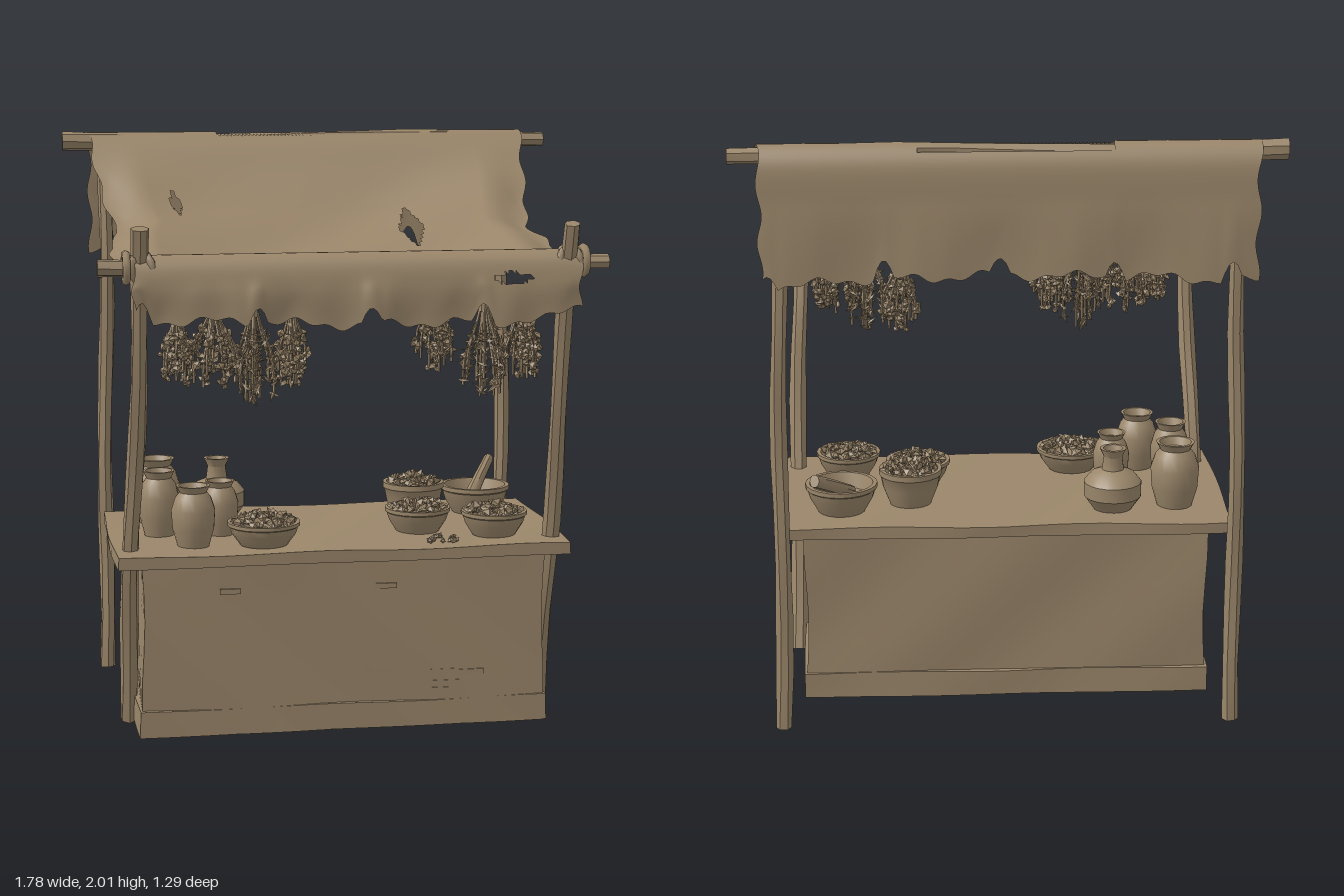
import * as THREE from 'three';
import { mergeGeometries, toCreasedNormals } from 'three/addons/utils/BufferGeometryUtils.js';

const clay = new THREE.MeshStandardMaterial({ color: 0x9a866a, side: THREE.DoubleSide });
clay.name = 'weathered tan';

let seed = 7;
const rnd = () => (seed = (seed * 16807) % 2147483647) / 2147483647;
const spread = (a) => (rnd() * 2 - 1) * a;
const V = (x, y, z) => new THREE.Vector3(x, y, z);
const lerp = THREE.MathUtils.lerp, step = THREE.MathUtils.smoothstep;

function mesh(name, geo, x = 0, y = 0, z = 0) {
  const m = new THREE.Mesh(geo, clay);
  m.name = name;
  m.position.set(x, y, z);
  return m;
}

// move every vertex by a rule
function warp(geo, rule) {
  const p = geo.attributes.position, v = V(0, 0, 0);
  for (let i = 0; i < p.count; i++) {
    v.fromBufferAttribute(p, i);
    rule(v);
    p.setXYZ(i, v.x, v.y, v.z);
  }
  return toCreasedNormals(geo, 0.6);
}

// rough-hewn pole between two points
function pole(name, a, b, r, sides = 7) {
  const len = a.distanceTo(b), ph = rnd() * 6;
  const geo = warp(new THREE.CylinderGeometry(r * 0.92, r * 1.05, len, sides, 10), (v) => {
    const k = 1 + 0.1 * Math.sin(v.y * 9 + ph + Math.atan2(v.z, v.x) * 2);
    v.x = v.x * k + 0.006 * Math.sin(v.y * 5 + ph);
    v.z = v.z * k + 0.005 * Math.sin(v.y * 6 + ph * 2);
  });
  const m = mesh(name, geo);
  m.position.copy(a).add(b).multiplyScalar(0.5);
  m.quaternion.setFromUnitVectors(V(0, 1, 0), b.clone().sub(a).normalize());
  return m;
}

// worn box with softly wandering faces
function wornBox(name, w, h, d, x, y, z, amp) {
  const geo = warp(new THREE.BoxGeometry(w, h, d, 18, 6, 10), (v) => {
    const { x: a, y: b, z: c } = v;
    v.x += amp * Math.sin(b * 11 + c * 7 + 1) * Math.sign(a);
    v.z += amp * Math.sin(a * 8 + b * 9) * Math.sign(c);
    v.y += amp * 0.5 * Math.sin(a * 9 + c * 5) * (b > 0 ? 1 : 0);
  });
  return mesh(name, geo, x, y, z);
}

// half width of the cloth at a given depth
const widths = [[-0.64, 0.79], [-0.55, 0.8], [-0.3, 0.765], [-0.1, 0.725], [0, 0.76], [0.38, 0.775], [0.45, 0.735], [0.65, 0.73]];
function halfWidth(z) {
  for (let i = 1; i < widths.length; i++) {
    const [z0, w0] = widths[i - 1], [z1, w1] = widths[i];
    if (z <= z1) return lerp(w0, w1, Math.max(0, (z - z0) / (z1 - z0)));
  }
  return 0.73;
}

// torn places: x, z, half sizes, slant
const tears = [[0.31, -0.12, 0.045, 0.14, 0], [-0.39, 0.27, 0.045, 0.1, -0.2], [-0.51, -0.25, 0.022, 0.07, 0.1]];
function torn(x, y, z) {
  if (z > 0.585 && Math.abs(x - 0.5) / 0.08 + Math.abs(y - 1.57) / 0.022 < 1) return true;
  if (y > 1.9 && z > -0.59 && z < -0.525 && x > -0.33 && x < 0.29) return true;
  return y < 1.9 && tears.some(([a, c, hx, hz, s]) => z < 0.5 && z > -0.5 &&
    Math.abs(x - a - s * (z - c)) / hx + Math.abs(z - c) / hz < 1);
}

// sagging cloth draped over both rails, with ragged hems
function canopy() {
  const line = new THREE.CatmullRomCurve3([[0.625, 1.43], [0.62, 1.55], [0.59, 1.635], [0.54, 1.657], [0.4, 1.622], [0.2, 1.637],
    [0, 1.678], [-0.2, 1.757], [-0.4, 1.88], [-0.5, 1.965], [-0.555, 1.997], [-0.605, 1.95], [-0.625, 1.8], [-0.635, 1.55]]
    .map(([z, y]) => V(0, y, z)));
  const nx = 120, nv = 140, pos = [], idx = [];
  for (let j = 0; j <= nv; j++) {
    const t = j / nv, p = line.getPointAt(t), w = halfWidth(p.z);
    const roof = p.y > 1.6 ? step(p.z, -0.52, -0.25) * (1 - step(p.z, 0.25, 0.53)) : 0;
    const front = 1 - step(t, 0, 0.09), back = step(t, 0.84, 1);
    for (let i = 0; i <= nx; i++) {
      const u = i / nx * 2 - 1, x = u * w;
      const notch = Math.max(0, Math.sin(x * 17 + 1) - 0.85) * 0.35;
      const rag = 0.012 * Math.sin(x * 23) + 0.008 * Math.sin(x * 61 + 2) + notch;
      let y = p.y - roof * (0.07 * Math.max(0, 1 - (u / 0.8) ** 2) + 0.035 * step(Math.abs(u), 0.82, 1));
      y += roof * 0.006 * Math.sin(x * 9 + p.z * 12);
      y += front * (rag + 0.05 * step(u, 0.8, 1) + 0.02 * step(-u, 0.1, 0.6)) + back * (rag + 0.03 * (1 - u * u));
      const z = p.z + (front + back) * 0.01 * Math.sin(x * 14 + 1) + front * 0.006 * Math.sin(x * 31);
      pos.push(x + 0.008 * Math.sin(t * 60 + 2) * step(Math.abs(u), 0.9, 1), y, z);
    }
  }
  const tri = (...k) => {
    const c = [0, 1, 2].map((n) => (pos[k[0] * 3 + n] + pos[k[1] * 3 + n] + pos[k[2] * 3 + n]) / 3);
    if (!torn(...c)) idx.push(...k);
  };
  for (let j = 0; j < nv; j++) for (let i = 0; i < nx; i++) {
    const a = j * (nx + 1) + i, b = a + nx + 1;
    tri(a, a + 1, b);
    tri(a + 1, b + 1, b);
  }
  const geo = new THREE.BufferGeometry();
  geo.setAttribute('position', new THREE.Float32BufferAttribute(pos, 3));
  geo.setIndex(idx);
  geo.computeVertexNormals();
  return mesh('canopy', geo);
}

const lathe = (pts) => toCreasedNormals(new THREE.LatheGeometry(pts.map(([r, y]) => new THREE.Vector2(r, y)), 20), 0.6);
const TOP = 0.635;

const jar = (x, z, r, h) => mesh('jar', lathe([[0, 0], [r * 0.72, 0], [r * 0.95, h * 0.3], [r, h * 0.6], [r * 0.82, h * 0.8],
  [r * 0.62, h * 0.89], [r * 0.78, h], [r * 0.65, h], [r * 0.5, h * 0.88], [0, h * 0.85]]), x, TOP, z);

const bowlShape = (r, h) => lathe([[0, 0], [r * 0.65, 0], [r * 0.88, h * 0.5], [r * 0.95, h * 0.8], [r, h * 0.85], [r, h],
  [r * 0.88, h], [r * 0.75, h * 0.5], [0, h * 0.3]]);

// one small angular lump
function lump(size, x, y, z, sy = 1) {
  const g = new THREE.OctahedronGeometry(size);
  g.scale(1, sy, 0.6);
  g.rotateX(spread(1.2)); g.rotateY(rnd() * 6); g.rotateZ(spread(1.2));
  return g.translate(x, y, z);
}

// bowl heaped with dried goods
function filledBowl(x, z, r, h, heap) {
  const g = new THREE.Group(), bits = [];
  g.name = 'filledBowl';
  for (let i = 0; i < 90; i++) {
    const a = rnd() * 6.28, d = Math.sqrt(rnd()) * r * 0.85;
    bits.push(lump(0.012 + rnd() * 0.012, Math.cos(a) * d, h * 0.8 + heap * (1 - (d / r) ** 2) + spread(0.008), Math.sin(a) * d));
  }
  g.add(mesh('bowl', bowlShape(r, h)), mesh('driedGoods', mergeGeometries(bits)));
  g.position.set(x, TOP, z);
  return g;
}

// hanging bunch: tied stems fanning out into leaves
function herbBunch(x, z, top, bottom, r, leafy) {
  const parts = [], h = top - bottom;
  for (let i = 0; i < 16; i++) {
    const a = rnd() * 6.28, d = r * Math.sqrt(rnd()), len = h * (0.7 + rnd() * 0.3);
    const at = (t) => V(Math.cos(a) * (0.01 + d * step(t, 0.12, 0.8)), -len * t, Math.sin(a) * (0.01 + d * step(t, 0.12, 0.8)));
    const path = new THREE.CatmullRomCurve3([0, 0.15, 0.4, 0.7, 1].map(at));
    parts.push(new THREE.TubeGeometry(path, 6, 0.005, 4).toNonIndexed());
    for (let k = 0; k < 9; k++) {
      const p = at(0.4 + rnd() * 0.6);
      parts.push(leafy ? lump(0.011 + rnd() * 0.008, p.x + spread(0.012), p.y, p.z + spread(0.012))
        : lump(0.008, p.x + spread(0.005), p.y, p.z + spread(0.005), 3.5));
    }
  }
  parts.push(new THREE.CylinderGeometry(0.017, 0.017, 0.03, 8).toNonIndexed().translate(0, -h * 0.14, 0));
  parts.forEach((g) => { g.deleteAttribute('uv'); g.computeVertexNormals(); });
  return mesh('herbBunch', mergeGeometries(parts), x, top, z);
}

export function createModel() {
  const g = new THREE.Group();
  g.name = 'marketStall';

  // counter
  g.add(wornBox('counterBody', 1.38, 0.6, 0.69, -0.005, 0.3, 0.015, 0.006));
  g.add(wornBox('counterBase', 1.41, 0.09, 0.71, -0.005, 0.047, 0.013, 0.004));
  g.add(wornBox('counterTop', 1.55, 0.04, 0.775, -0.005, 0.616, 0.02, 0.006));
  for (const [x, y, w] of [[0.34, 0.19, 0.1], [0.42, 0.185, 0.11], [0.35, 0.15, 0.12], [0.33, 0.125, 0.08], [-0.4, 0.5, 0.07], [0.13, 0.5, 0.08]])
    g.add(mesh('exposedBrick', new THREE.BoxGeometry(w, 0.018, 0.008), x, y, 0.363));

  // posts, rails and lashings
  for (const s of [-1, 1]) {
    g.add(pole('frontPost', V(s * 0.735, 0, 0.11), V(s * 0.7, 1.745, 0.6), 0.03));
    g.add(pole('backPost', V(s * 0.76, 0, -0.565), V(s * 0.735, 1.95, -0.56), 0.028));
    const lash = new THREE.TorusGeometry(0.043, 0.014, 6, 14);
    for (const [ry, dx] of [[0.6, 0], [1.57, 0.05], [2.4, 0]]) {
      const m = mesh('lashing', lash, s * (0.7 + dx), 1.62, 0.56);
      m.rotation.y = ry;
      g.add(m);
    }
  }
  g.add(pole('frontRail', V(-0.84, 1.62, 0.55), V(0.835, 1.62, 0.55), 0.028));
  g.add(pole('backRail', V(-0.89, 1.96, -0.555), V(0.89, 1.965, -0.55), 0.031));
  g.add(canopy());

  // jars and necked pot
  for (const j of [[-0.6, -0.17, 0.085, 0.23], [-0.51, 0.24, 0.075, 0.21], [-0.61, 0.06, 0.07, 0.23], [-0.4, 0.07, 0.065, 0.19]]) g.add(jar(...j));
  g.add(mesh('neckedPot', lathe([[0, 0], [0.065, 0], [0.1, 0.05], [0.1, 0.1], [0.075, 0.13], [0.038, 0.145], [0.032, 0.19],
    [0.046, 0.22], [0.034, 0.22], [0.02, 0.18], [0, 0.17]]), -0.38, TOP, -0.2));

  // bowls of goods, loose crumbs, mortar and pestle
  for (const b of [[-0.27, 0.25, 0.125, 0.08, 0.035], [0.29, 0.12, 0.115, 0.085, 0.03], [0.32, -0.11, 0.11, 0.13, 0.045], [0.54, 0.22, 0.115, 0.085, 0.03]])
    g.add(filledBowl(...b));
  const crumbs = [];
  for (let i = 0; i < 25; i++) crumbs.push(lump(0.012, 0.35 + spread(0.06), TOP + 0.008, 0.3 + spread(0.05)));
  g.add(mesh('crumbs', mergeGeometries(crumbs)));
  g.add(mesh('mortar', bowlShape(0.125, 0.1), 0.56, TOP, -0.17));
  g.add(pole('pestle', V(0.53, 0.69, -0.13), V(0.65, 0.79, -0.33), 0.022, 10));

  // hanging herbs: x, z, top, bottom, radius, leafy
  for (const b of [[-0.57, 0.38, 1.47, 1.21, 0.05, true], [-0.45, 0.37, 1.49, 1.19, 0.075, true], [-0.32, 0.39, 1.5, 1.13, 0.07, false],
    [-0.19, 0.38, 1.48, 1.19, 0.055, true], [0.34, 0.1, 1.49, 1.19, 0.065, true], [0.46, 0.38, 1.5, 1.14, 0.06, false], [0.59, 0.37, 1.48, 1.2, 0.05, true]])
    g.add(herbBunch(...b));
  return g;
}
